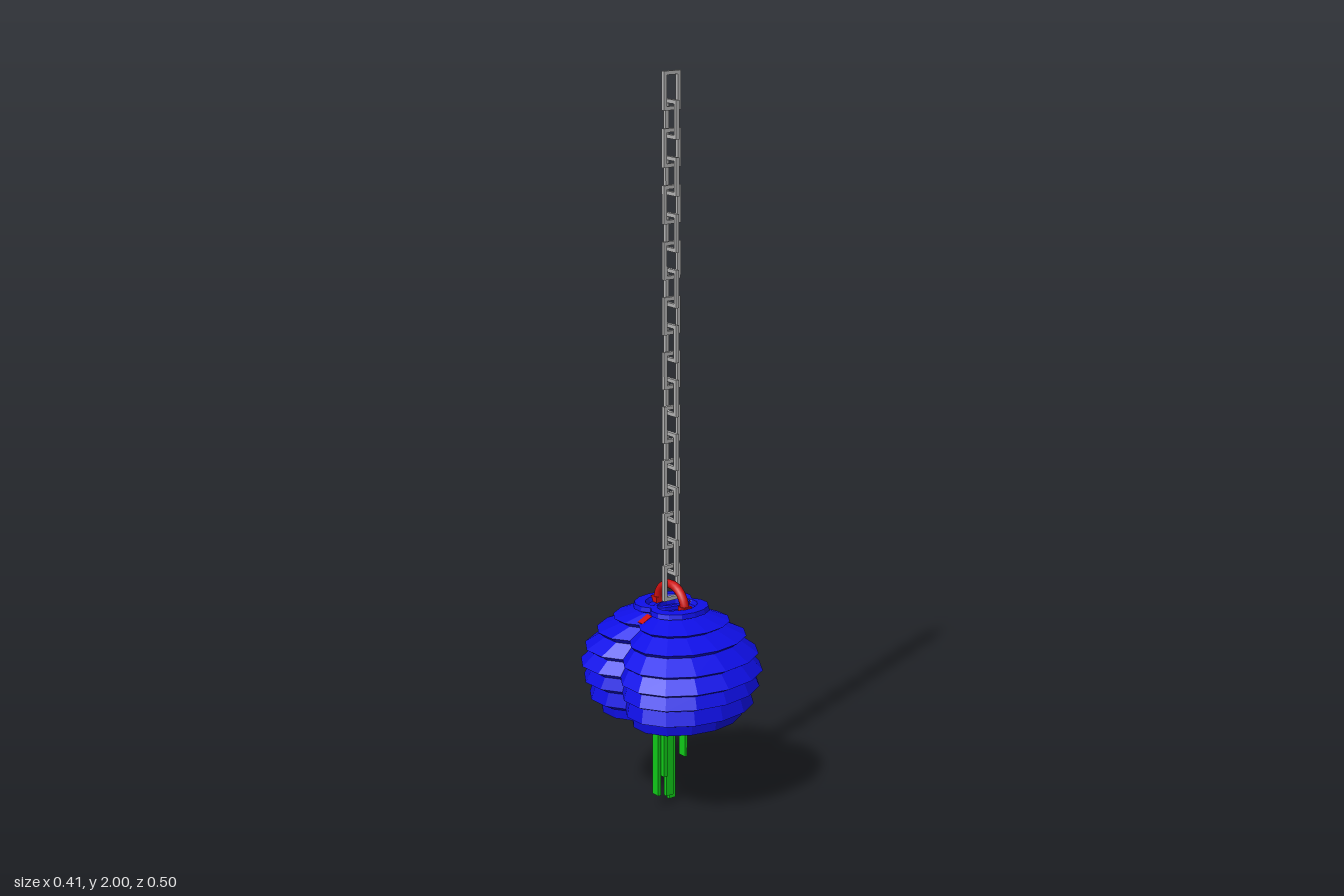
import * as THREE from 'three';

const mat = (name, color, flat) => {
  const m = new THREE.MeshStandardMaterial({ color, flatShading: !!flat });
  m.name = name;
  return m;
};

// Loft of scaled 14-sided oval rings; each ring is [scale, y], listed from top to bottom
function lobeGeometry(profile) {
  const sides = 14, pos = [];
  const point = ([s, y], k) => {
    const t = Math.PI / 2 + (k / sides) * Math.PI * 2;
    return [s * Math.cos(t), y, s * (0.43 + 0.76 * Math.sin(t))];
  };
  for (let i = 0; i < profile.length - 1; i++) {
    for (let k = 0; k < sides; k++) {
      const a = point(profile[i], k), b = point(profile[i], k + 1);
      const c = point(profile[i + 1], k + 1), d = point(profile[i + 1], k);
      if (profile[i][0] > 0) pos.push(...a, ...b, ...c);
      if (profile[i + 1][0] > 0) pos.push(...a, ...c, ...d);
    }
  }
  const g = new THREE.BufferGeometry();
  g.setAttribute('position', new THREE.Float32BufferAttribute(pos, 3));
  g.computeVertexNormals();
  return g;
}

// Rectangular chain link with a square section
function linkGeometry(w, h, bar) {
  const rect = (P, a, b) => {
    const p = new P();
    p.moveTo(-a, -b); p.lineTo(a, -b); p.lineTo(a, b); p.lineTo(-a, b); p.closePath();
    return p;
  };
  const shape = rect(THREE.Shape, w / 2, h / 2);
  shape.holes.push(rect(THREE.Path, w / 2 - bar, h / 2 - bar));
  const g = new THREE.ExtrudeGeometry(shape, { depth: bar, bevelEnabled: false });
  g.translate(0, 0, -bar / 2);
  return g;
}

export function createModel() {
  const root = new THREE.Group();
  root.name = 'hangingLantern';
  const blue = mat('lanternBlue', 0x0f0fe8, true);
  const red = mat('handleRed', 0xd01010);
  const green = mat('tasselGreen', 0x10cc18, true);
  const grey = mat('chainGrey', 0xb4b4b4, true);

  const add = (name, geo, material, x = 0, y = 0, z = 0, parent = root) => {
    const m = new THREE.Mesh(geo, material);
    m.name = name;
    m.position.set(x, y, z);
    parent.add(m);
    return m;
  };

  // Two lobes with overlapping saw-tooth tiers
  const profile = [
    [0, 0.568], [0.055, 0.568], [0.06, 0.58], [0.085, 0.578], [0.088, 0.565], [0.075, 0.56],
    [0.134, 0.538], [0.118, 0.527], [0.172, 0.5], [0.157, 0.487], [0.2, 0.452], [0.182, 0.44],
    [0.21, 0.405], [0.19, 0.393], [0.203, 0.36], [0.18, 0.348], [0.19, 0.31], [0.165, 0.298],
    [0.162, 0.272], [0.08, 0.25], [0.077, 0.235], [0, 0.235],
  ];
  const lobe = lobeGeometry(profile);
  add('frontLobe', lobe, blue);
  add('backLobe', lobe, blue).rotation.y = Math.PI;

  // Arched handle with square feet
  const arch = add('handleArch', new THREE.TorusGeometry(0.059, 0.0125, 8, 16, Math.PI), red, 0, 0.572, 0);
  arch.rotation.y = Math.PI / 2;
  for (const s of [-1, 1]) {
    add('handleFoot', new THREE.BoxGeometry(0.028, 0.02, 0.026), red, 0, 0.574, s * 0.06);
    // Inner frame showing in the crease between the lobes
    add('innerFrameTop', new THREE.BoxGeometry(0.016, 0.02, 0.026), red, s * 0.048, 0.565, 0);
    const strut = add('innerFrameSide', new THREE.BoxGeometry(0.036, 0.012, 0.022), red, s * 0.086, 0.546, 0);
    strut.rotation.z = -s * 0.45;
  }

  // Chain of alternating links
  const chain = new THREE.Group();
  chain.name = 'chain';
  root.add(chain);
  const link = linkGeometry(0.054, 0.1, 0.01);
  for (let i = 0; i < 19; i++) {
    const m = add('chainLink', link, grey, 0, 1.95 - i * 0.0729, 0, chain);
    m.rotation.y = (i % 2) * Math.PI / 2;
  }

  // Hanging tassel strips: x, z, width, depth, bottom height
  const strips = [
    [-0.044, -0.008, 0.01, 0.026, 0.033],
    [-0.024, 0.0, 0.014, 0.016, 0.085],
    [-0.003, -0.008, 0.024, 0.012, 0.022],
    [0.023, -0.03, 0.022, 0.01, 0],
    [0.041, 0.0, 0.008, 0.026, 0.13],
  ];
  for (const [x, z, w, d, bottom] of strips) {
    const h = 0.25 - bottom;
    add('tasselStrip', new THREE.BoxGeometry(w, h, d), green, x, bottom + h / 2, z);
  }
  return root;
}
